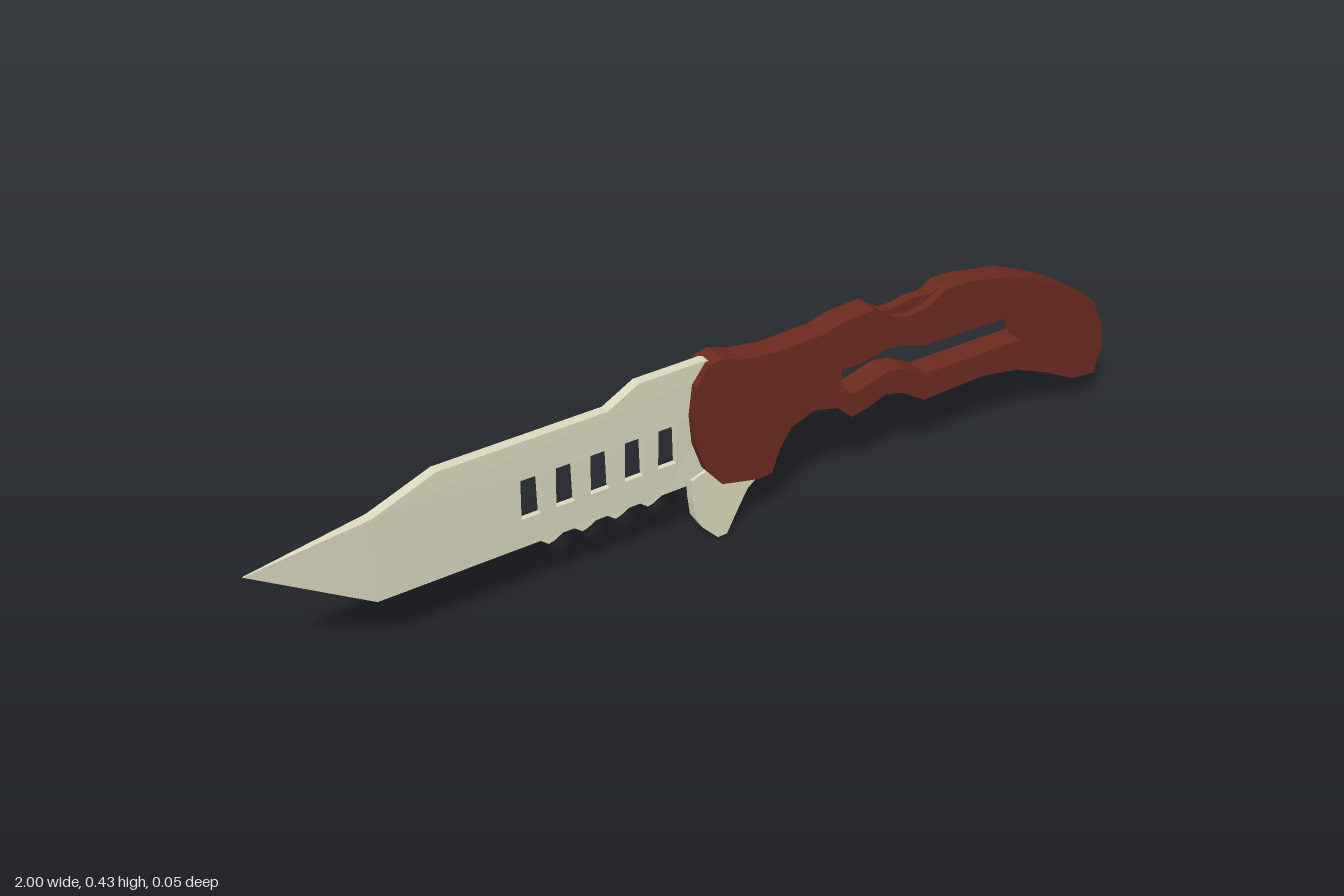
import * as THREE from 'three';

const steel = new THREE.MeshStandardMaterial({ color: 0xdad8bc });
steel.name = 'pale steel';
const red = new THREE.MeshStandardMaterial({ color: 0x6c2a1f });
red.name = 'dark red';

const toPoints = (list) => list.map(([x, y]) => new THREE.Vector2(x, y));

// Flat plate centred on z = 0; outlines run clockwise and holes anticlockwise
function plate(name, outline, holes, thickness, material) {
  const shape = new THREE.Shape(toPoints(outline));
  for (const hole of holes) shape.holes.push(new THREE.Path(toPoints(hole)));
  const geometry = new THREE.ExtrudeGeometry(shape, { depth: thickness, bevelEnabled: false });
  geometry.translate(0, 0, -thickness / 2);
  const mesh = new THREE.Mesh(geometry, material);
  mesh.name = name;
  return mesh;
}

// Steel plate thinned towards the cutting edge and the point
function groundPlate(name, outline, holes) {
  const mesh = plate(name, outline, holes, 0.022, steel);
  const p = mesh.geometry.attributes.position;
  for (let i = 0; i < p.count; i++) {
    const edge = THREE.MathUtils.clamp(0.3 + 0.7 * (p.getY(i) - 0.147) / 0.19, 0.3, 1);
    const tip = THREE.MathUtils.clamp((p.getX(i) + 1) / 0.25, 0.1, 1);
    p.setZ(i, p.getZ(i) * Math.min(edge, tip));
  }
  mesh.geometry.computeVertexNormals();
  return mesh;
}

function makeBlade() {
  const blade = new THREE.Group();
  blade.name = 'blade';

  // Spine, then back along the cutting edge
  const outline = [
    [0.06, 0.147], [0.06, 0.40], [-0.03, 0.428], [-0.18, 0.428], [-0.25, 0.39],
    [-0.615, 0.39], [-0.75, 0.338], [-0.75, 0.147],
  ].reverse();
  // Serrations
  const teeth = [];
  for (let i = 0; i < 4; i++) {
    const x = -0.403 + i * 0.075;
    teeth.push([x, 0.147], [x + 0.018, 0.133], [x + 0.03, 0.136], [x + 0.05, 0.147]);
  }
  // Row of slots
  const slots = [];
  for (let i = 0; i < 5; i++) {
    const x = -0.443 + i * 0.0765;
    slots.push([[x, 0.213], [x + 0.042, 0.213], [x + 0.042, 0.304], [x, 0.304]]);
  }
  blade.add(groundPlate('bladeBody', [...outline, ...[]].concat([]).length ? [...teeth.reverse(), ...outline] : outline, slots));
  blade.add(groundPlate('bladePoint', [[-0.75, 0.147], [-1, 0.305], [-0.75, 0.338]], []));
  return blade;
}

export function createModel() {
  const knife = new THREE.Group();
  knife.name = 'foldingKnife';

  knife.add(makeBlade());

  // Finger tab under the pivot
  knife.add(plate('fingerTab', [
    [0, 0], [-0.035, 0.036], [-0.053, 0.066], [-0.059, 0.11], [-0.062, 0.16],
    [0.06, 0.2], [0.12, 0.122], [0.095, 0.11], [0.072, 0.092], [0.05, 0.053], [0.022, 0],
  ], [], 0.022, steel));

  // Handle with finger grooves and a long window
  const handle = [
    [-0.03, 0.424], [0, 0.43], [0.045, 0.414], [0.12, 0.402], [0.24, 0.405],
    [0.29, 0.418], [0.365, 0.422], [0.385, 0.406], [0.415, 0.388], [0.45, 0.378],
    [0.5, 0.384], [0.53, 0.4], [0.55, 0.411], [0.6, 0.41], [0.715, 0.388],
    [0.785, 0.36], [0.865, 0.319], [0.96, 0.253], [0.99, 0.187], [1, 0.127],
    [0.982, 0.063], [0.92, 0.069], [0.84, 0.112], [0.755, 0.148], [0.66, 0.164],
    [0.505, 0.16], [0.447, 0.197], [0.403, 0.208], [0.355, 0.192], [0.318, 0.184],
    [0.28, 0.219], [0.222, 0.234], [0.168, 0.214], [0.142, 0.177], [0.12, 0.12],
    [0.088, 0.118], [0, 0.139], [-0.035, 0.181], [-0.06, 0.25], [-0.068, 0.317],
    [-0.06, 0.385],
  ];
  const window = [
    [0.288, 0.255], [0.318, 0.24], [0.34, 0.244], [0.403, 0.262], [0.447, 0.256],
    [0.505, 0.224], [0.76, 0.22], [0.76, 0.287], [0.5, 0.293], [0.437, 0.314],
    [0.4, 0.318], [0.33, 0.304], [0.288, 0.308],
  ];
  knife.add(plate('handle', handle, [window], 0.054, red));

  // Lock bar showing in the notch on the handle's back
  knife.add(plate('lockBar', [
    [0.37, 0.37], [0.365, 0.418], [0.39, 0.402], [0.42, 0.398],
    [0.47, 0.406], [0.52, 0.403], [0.55, 0.409], [0.55, 0.37],
  ], [], 0.022, red));

  return knife;
}
